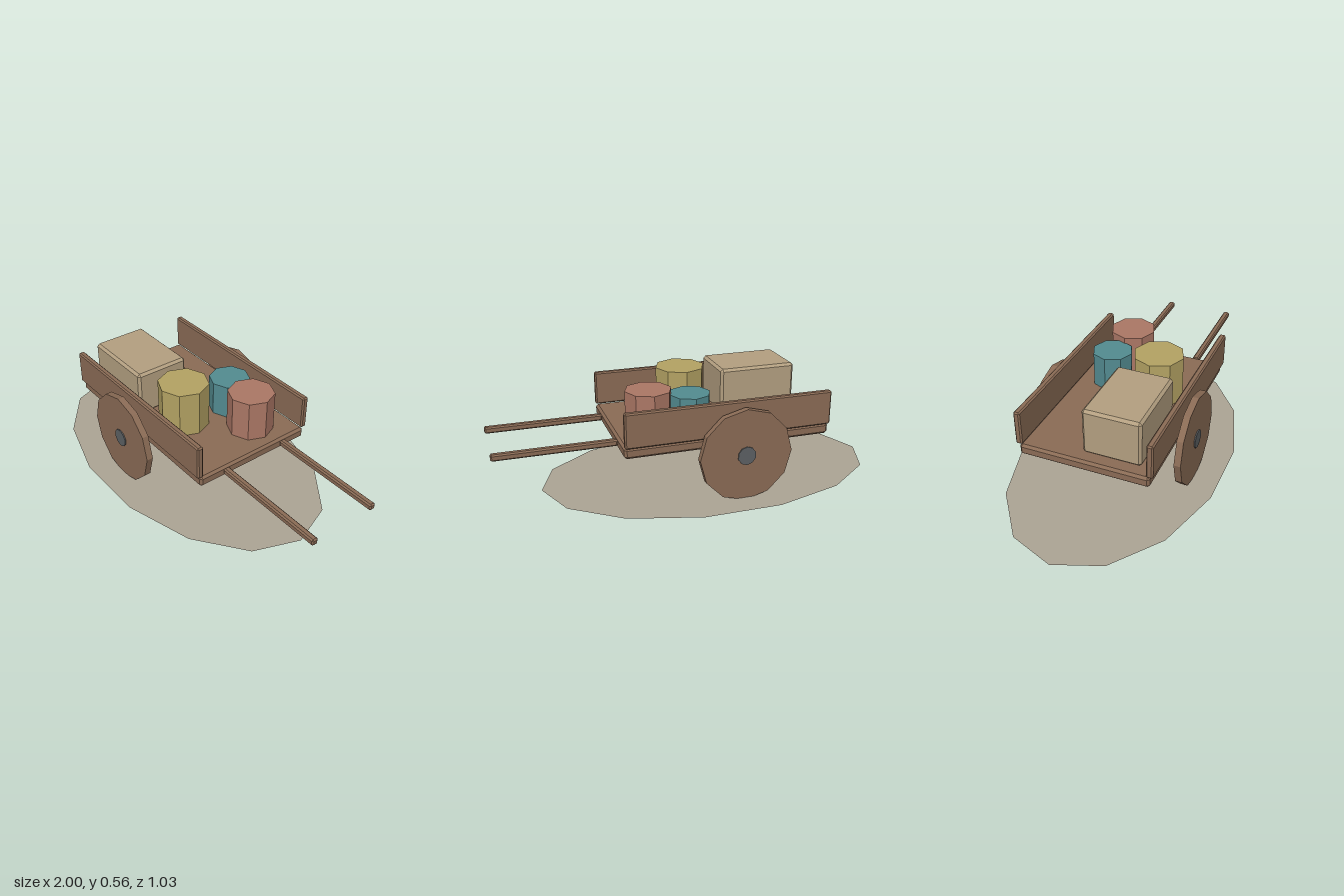
import * as THREE from 'three';
import { ConvexGeometry } from 'three/addons/geometries/ConvexGeometry.js';

const material = (name, color, extra = {}) => {
  const m = new THREE.MeshStandardMaterial({ color, flatShading: true, ...extra });
  m.name = name;
  return m;
};

// Box with chamfered edges, made as the hull of its 24 corner points
function chamferBox(w, h, d, c) {
  const points = [];
  for (const x of [-1, 1]) for (const y of [-1, 1]) for (const z of [-1, 1]) {
    for (let full = 0; full < 3; full++) {
      const p = [w, h, d].map((s, i) => s / 2 - (i === full ? 0 : c));
      points.push(new THREE.Vector3(x * p[0], y * p[1], z * p[2]));
    }
  }
  return new ConvexGeometry(points);
}

export function createModel() {
  const wood = material('brown wood', 0x8a6b55);
  const crateWood = material('pale crate wood', 0xb39f80);
  const ochre = material('ochre', 0xb3a263);
  const clay = material('clay red', 0xab7765);
  const teal = material('teal', 0x538b90);
  const iron = material('iron grey', 0x5c6063);
  const dust = material('dusty ground', 0xaca494, { side: THREE.DoubleSide });

  const cart = new THREE.Group();
  cart.name = 'handcart';
  const add = (name, geometry, mat, x, y, z, parent = cart) => {
    const mesh = new THREE.Mesh(geometry, mat);
    mesh.name = name;
    mesh.position.set(x, y, z);
    parent.add(mesh);
    return mesh;
  };

  // Oval ground patch, just above the lowest point of the wheels
  const ground = new THREE.CircleGeometry(1, 14).rotateX(-Math.PI / 2).scale(0.88, 1, 0.53);
  add('groundPatch', ground, dust, -0.12, 0.012, 0);

  // Bed
  add('deck', chamferBox(1.05, 0.056, 0.646, 0.012), wood, -0.12, 0.294, 0);

  // Side boards, handles and wheels, mirrored front to back
  for (const [side, s] of [['front', 1], ['back', -1]]) {
    add(side + 'SideBoard', chamferBox(1.05, 0.175, 0.033, 0.007), wood, -0.12, 0.411, s * 0.323);
    add(side + 'Handle', chamferBox(0.595, 0.033, 0.033, 0.007), wood, 0.7025, 0.301, s * 0.176);

    const wheel = new THREE.Group();
    wheel.name = side + 'Wheel';
    wheel.position.set(-0.18, 0.236, s * 0.371);
    cart.add(wheel);
    const disc = (r, depth, n) => new THREE.CylinderGeometry(r, r, depth, n).rotateX(Math.PI / 2);
    add('wheelDisc', disc(0.236, 0.034, 12), wood, 0, 0, 0, wheel);
    add('hub', disc(0.047, 0.046, 10), iron, 0, 0, 0, wheel);
  }

  // Cargo: one crate and three eight-sided barrels
  add('crate', chamferBox(0.405, 0.235, 0.288, 0.013), crateWood, -0.383, 0.439, 0.117);
  for (const [name, mat, r, top, x, z] of [
    ['ochreBarrel', ochre, 0.128, 0.557, -0.003, 0.118],
    ['tealBarrel', teal, 0.104, 0.5, 0.03, -0.147],
    ['clayBarrel', clay, 0.117, 0.53, 0.232, -0.118],
  ]) {
    const h = top - 0.32;
    add(name, new THREE.CylinderGeometry(r, r, h, 8), mat, x, 0.32 + h / 2, z);
  }

  return cart;
}
